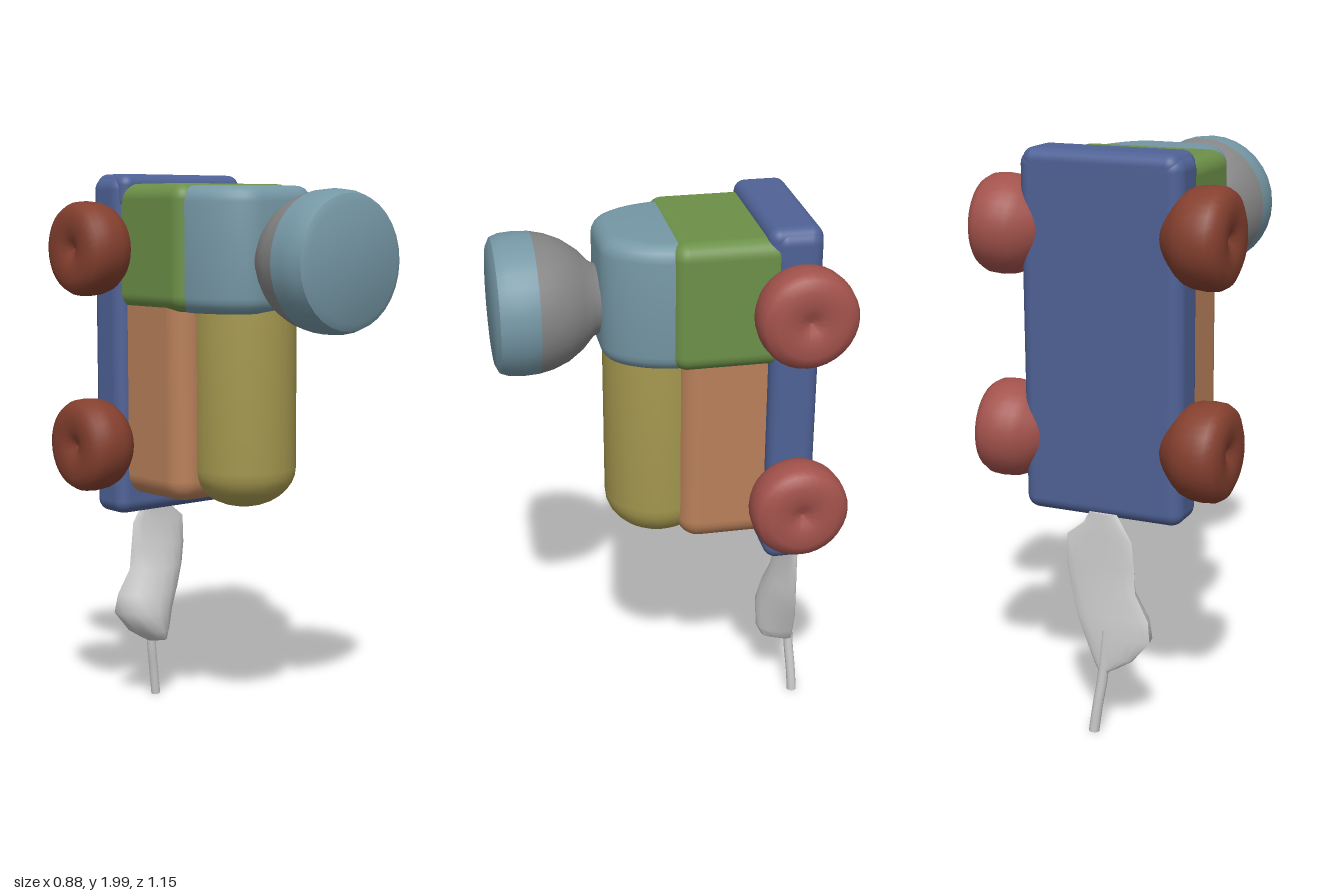
import * as THREE from 'three';
import { RoundedBoxGeometry } from 'three/addons/geometries/RoundedBoxGeometry.js';
import { toCreasedNormals } from 'three/addons/utils/BufferGeometryUtils.js';

const mat = (color) => new THREE.MeshStandardMaterial({ color });
const BLUE = mat(0x4f6296), RED = mat(0xa3524c), BROWN = mat(0x85402f), GREEN = mat(0x6c9048), SKY = mat(0x7597a5),
  ORANGE = mat(0xb9805a), YELLOW = mat(0xa79a50), GREY = mat(0xcccccc), DARK = mat(0x858585);

function add(parent, name, geometry, material, x = 0, y = 0, z = 0) {
  const mesh = new THREE.Mesh(geometry, material);
  mesh.name = name;
  mesh.position.set(x, y, z);
  parent.add(mesh);
  return mesh;
}

// Rounded box given by its limits
function box(parent, name, material, [x0, x1], [y0, y1], [z0, z1], r) {
  return add(parent, name, new RoundedBoxGeometry(x1 - x0, y1 - y0, z1 - z0, 5, r), material,
    (x0 + x1) / 2, (y0 + y1) / 2, (z0 + z1) / 2);
}

// Lathe from [radius, height] pairs, listed from bottom to top
const lathe = (pts, sides = 32) => toCreasedNormals(
  new THREE.LatheGeometry(pts.map(([r, h]) => new THREE.Vector2(r, h)), sides), 0.75);

// Closed skin over flat-backed sections [y, xMin, xMax, zBack, zFront], listed from top to bottom
function loft(rows, sides = 16) {
  const pos = [], index = [];
  rows.forEach(([y, x0, x1, z0, z1]) => {
    for (let i = 0; i < sides; i++) {
      const a = (i / sides) * Math.PI * 2, s = Math.sin(a);
      pos.push((x0 + x1) / 2 + (x1 - x0) / 2 * Math.cos(a), y,
        s > 0 ? z0 + (z1 - z0) * s : z0 + 0.012 * s);
    }
  });
  for (let r = 0; r < rows.length - 1; r++) {
    for (let i = 0; i < sides; i++) {
      const a = r * sides + i, b = r * sides + (i + 1) % sides;
      index.push(a, b, a + sides, b, b + sides, a + sides);
    }
  }
  const last = (rows.length - 1) * sides;
  for (let i = 1; i < sides - 1; i++) {
    index.push(0, i + 1, i, last, last + i, last + i + 1);
  }
  const g = new THREE.BufferGeometry();
  g.setAttribute('position', new THREE.Float32BufferAttribute(pos, 3));
  g.setIndex(index);
  return toCreasedNormals(g, 0.9);
}

export function createModel() {
  const model = new THREE.Group();
  model.name = 'toyTrain';

  // Chassis slab, standing on end, with a slightly proud rail at the top
  box(model, 'chassis', BLUE, [-0.288, 0.282], [0.77, 1.98], [-0.483, -0.318], 0.045);
  box(model, 'topRail', BLUE, [-0.275, 0.272], [1.86, 1.99], [-0.483, -0.3], 0.04);

  // Body layers in front of the chassis
  box(model, 'boilerBase', ORANGE, [-0.25, 0.228], [0.845, 1.62], [-0.4, -0.025], 0.075);
  box(model, 'cabBack', GREEN, [-0.268, 0.275], [1.515, 1.955], [-0.38, 0.01], 0.055);

  // Round-ended boiler
  const boiler = [];
  for (let i = 0; i <= 8; i++) {
    const a = (i / 8) * Math.PI / 2;
    boiler.push([0.185 * Math.sin(a), 0.96 - 0.14 * Math.cos(a)]);
  }
  boiler.push([0.185, 1.56]);
  add(model, 'boiler', lathe(boiler), YELLOW, 0.008, 0, 0.018);

  // Cab front with a bowed plan and soft top and bottom edges
  const bevel = 0.055;
  const plan = new THREE.Shape();
  plan.moveTo(-0.245, 0.16);
  plan.lineTo(-0.245, 0.01);
  plan.bezierCurveTo(-0.235, -0.1, -0.17, -0.22, -0.08, -0.222);
  plan.lineTo(0.09, -0.222);
  plan.bezierCurveTo(0.18, -0.22, 0.245, -0.1, 0.252, 0.01);
  plan.lineTo(0.252, 0.16);
  plan.closePath();
  const cab = new THREE.ExtrudeGeometry(plan, {
    depth: 0.435 - 2 * bevel, bevelThickness: bevel, bevelSize: bevel, bevelOffset: -bevel,
    bevelSegments: 5, curveSegments: 12,
  }).rotateX(-Math.PI / 2);
  add(model, 'cabFront', toCreasedNormals(cab, 0.8), SKY, 0, 1.512 + bevel, 0);

  // Funnel: dark flared neck and pale drum
  const neck = lathe([[0, 0.16], [0.14, 0.18], [0.115, 0.215], [0.125, 0.24], [0.168, 0.28],
    [0.204, 0.33], [0.225, 0.38], [0.236, 0.43]]).rotateX(Math.PI / 2);
  add(model, 'funnelNeck', neck, DARK, 0, 1.695, 0);
  const drum = lathe([[0, 0.42], [0.236, 0.43], [0.239, 0.48], [0.235, 0.53], [0.224, 0.56],
    [0.2, 0.572], [0, 0.574]]).rotateX(Math.PI / 2);
  add(model, 'funnelDrum', drum, SKY, 0, 1.695, 0);

  // Four wheels with broad treads, rounded rims and a dimpled hub
  const wheel = lathe([[0, 0.2], [0.07, 0.21], [0.1, 0.235], [0.132, 0.265], [0.152, 0.29], [0.163, 0.32],
    [0.167, 0.36], [0.164, 0.4], [0.15, 0.424], [0.115, 0.441], [0.06, 0.438], [0.03, 0.428], [0, 0.41]])
    .rotateZ(-Math.PI / 2);
  for (const [row, y] of [['upper', 1.728], ['lower', 1.028]]) {
    for (const [name, turn, paint] of [['Left', 0, RED], ['Right', Math.PI, BROWN]]) {
      add(model, row + name + 'Wheel', wheel, paint, 0, y, -0.405).rotation.y = turn;
    }
  }

  // Hanging tag, thicker towards its lower end
  add(model, 'tag', loft([
    [0.79, -0.06, 0.04, -0.475, -0.463],
    [0.75, -0.085, 0.06, -0.477, -0.465],
    [0.7, -0.115, 0.122, -0.479, -0.462],
    [0.6, -0.125, 0.125, -0.48, -0.445],
    [0.52, -0.13, 0.11, -0.485, -0.42],
    [0.43, -0.18, 0.085, -0.493, -0.395],
    [0.36, -0.19, 0.055, -0.502, -0.382],
    [0.28, -0.125, 0.025, -0.502, -0.38],
    [0.245, -0.07, 0.01, -0.502, -0.4],
    [0.225, -0.035, -0.005, -0.502, -0.48],
  ]), GREY);

  // Pull string, running down the back of the tag and below it
  const path = new THREE.CatmullRomCurve3([
    new THREE.Vector3(-0.03, 0.38, -0.497), new THREE.Vector3(-0.015, 0.2, -0.503),
    new THREE.Vector3(0, 0.1, -0.511), new THREE.Vector3(0.013, 0.003, -0.516),
  ]);
  add(model, 'string', new THREE.TubeGeometry(path, 16, 0.018, 10), GREY);
  const tip = add(model, 'stringTip', new THREE.SphereGeometry(0.018, 10, 6), GREY, 0.013, 0.004, -0.516);
  tip.scale.y = 0.2;

  return model;
}
